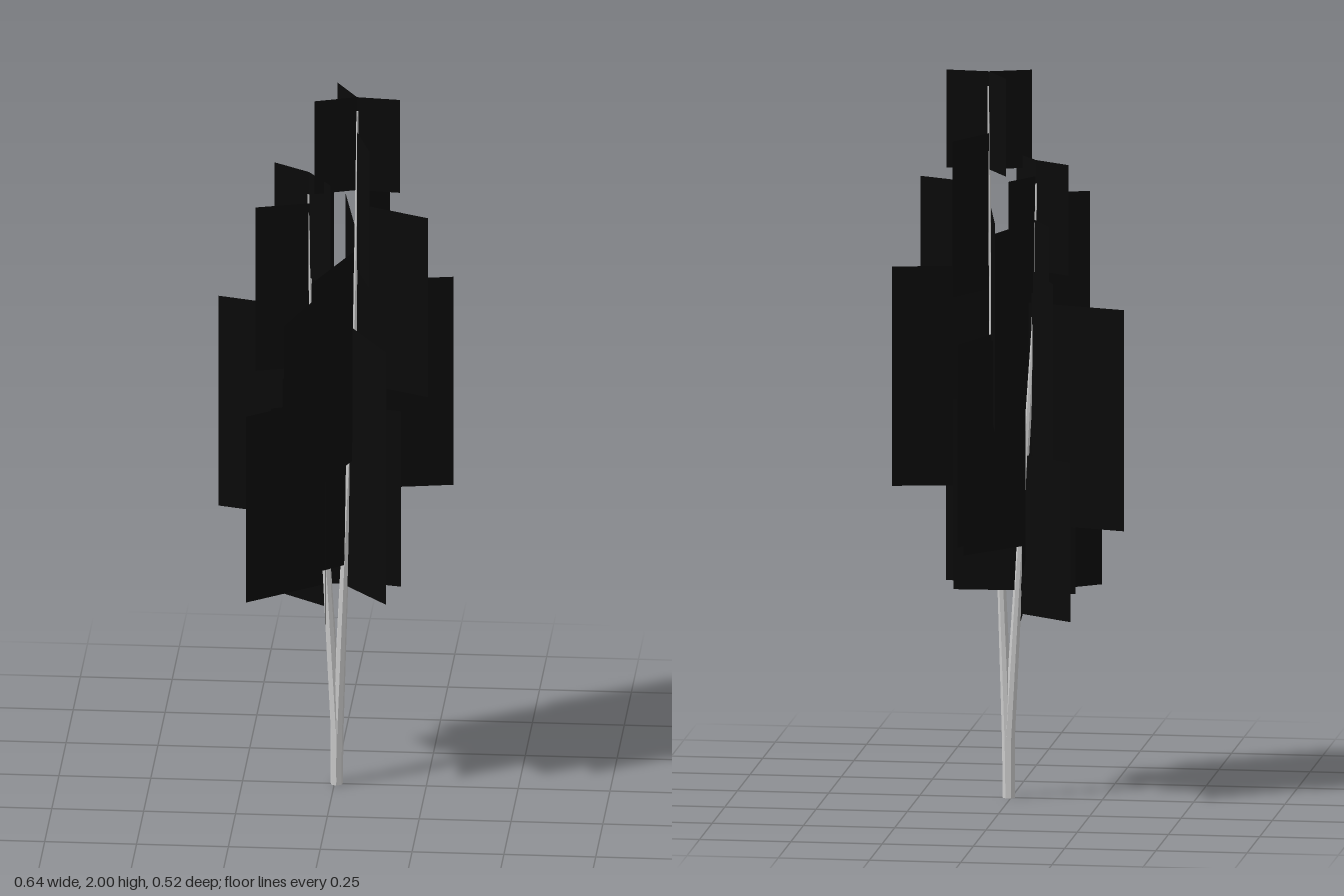
import * as THREE from 'three';

export function createModel() {
  const tree = new THREE.Group();
  tree.name = 'tree';
  const bark = new THREE.MeshStandardMaterial({ color: 0xcccccc, flatShading: true });
  const leaf = new THREE.MeshStandardMaterial({ color: 0x0a0a0a, side: THREE.DoubleSide });

  // Stem centrelines as [x, y, z, radius], from the ground up
  const leftStem = [[0.006, 0, 0, 0.017], [0.005, 0.16, 0, 0.016], [-0.022, 0.62, -0.01, 0.012],
    [-0.05, 1.05, -0.02, 0.009], [-0.065, 1.3, -0.024, 0.006], [-0.073, 1.7, -0.028, 0.003]];
  const rightStem = [[0.006, 0, 0, 0.017], [0.009, 0.16, 0, 0.016], [0.03, 0.7, 0, 0.011],
    [0.055, 1.28, 0.005, 0.007], [0.06, 1.6, 0.007, 0.005], [0.063, 1.96, 0.008, 0.003]];

  // Tapered stem: one open cylinder whose rings are moved onto the centreline
  function addStem(points, name) {
    const sides = 7, rows = points.length - 1;
    const geo = new THREE.CylinderGeometry(1, 1, 1, sides, rows);
    const pos = geo.attributes.position;
    for (let i = 0; i < pos.count; i++) {
      const [x, y, z, r] = points[Math.round((pos.getY(i) + 0.5) * rows)];
      pos.setXYZ(i, x + pos.getX(i) * r, y, z + pos.getZ(i) * r);
    }
    geo.computeVertexNormals();
    const mesh = new THREE.Mesh(geo, bark);
    mesh.name = name;
    tree.add(mesh);
  }
  addStem(leftStem, 'rightHandStem');
  addStem(rightStem, 'leftHandStem');

  // Point on a stem at a given height
  function stemAt(points, y) {
    let i = 1;
    while (i < points.length - 1 && points[i][1] < y) i++;
    const a = points[i - 1], b = points[i];
    const t = Math.min(1, (y - a[1]) / (b[1] - a[1]));
    return [a[0] + (b[0] - a[0]) * t, a[2] + (b[2] - a[2]) * t];
  }

  // Upright foliage sheet running outward from the stem to (x, z)
  function addSheets(stem, sheets, name) {
    const group = new THREE.Group();
    group.name = name;
    for (const [x, z, bottom, top] of sheets) {
      const mid = (bottom + top) / 2;
      const [sx, sz] = stemAt(stem, mid);
      const mesh = new THREE.Mesh(new THREE.PlaneGeometry(Math.hypot(x - sx, z - sz), top - bottom), leaf);
      mesh.position.set((x + sx) / 2, mid, (z + sz) / 2);
      mesh.rotation.y = -Math.atan2(z - sz, x - sx);
      mesh.name = 'foliageSheet';
      group.add(mesh);
    }
    tree.add(group);
  }

  // Each entry: outer x, outer z, bottom, top
  addSheets(rightStem, [
    [0.18, 0.02, 1.73, 2.0], [0.0, -0.1, 1.73, 2.0], [-0.05, 0.048, 1.73, 2.0],
    [0.108, 0.16, 1.5, 1.9], [0.141, -0.138, 1.4, 1.83],
    [0.262, 0.102, 1.17, 1.69], [0.012, -0.236, 1.05, 1.625],
    [-0.043, 0.258, 0.945, 1.55], [0.32, -0.046, 0.86, 1.465],
    [0.157, 0.193, 0.755, 1.33], [0.12, -0.19, 0.72, 1.28],
    [-0.136, 0.073, 0.68, 1.2], [-0.098, 0.12, 0.64, 1.15],
    [0.183, 0.033, 0.59, 1.1], [0.151, 0.134, 0.575, 1.0],
  ], 'leftHandFoliage');

  addSheets(leftStem, [
    [-0.17, -0.093, 1.46, 1.765], [-0.005, 0.07, 1.46, 1.765], [-0.01, -0.12, 1.4, 1.72],
    [-0.213, 0.018, 1.2, 1.675], [-0.123, -0.139, 1.12, 1.6],
    [0.155, -0.023, 0.575, 1.1], [-0.146, -0.228, 0.95, 1.46],
    [-0.122, 0.2, 0.8, 1.4], [-0.323, -0.1, 0.76, 1.37],
    [0.103, -0.196, 0.7, 1.28], [-0.066, -0.26, 0.66, 1.2],
    [-0.231, 0.134, 0.57, 1.11], [-0.17, 0.04, 0.62, 1.1],
    [-0.18, -0.123, 0.51, 0.95], [-0.014, 0.134, 0.485, 0.9],
    [-0.18, -0.026, 0.57, 1.0],
  ], 'rightHandFoliage');

  return tree;
}
